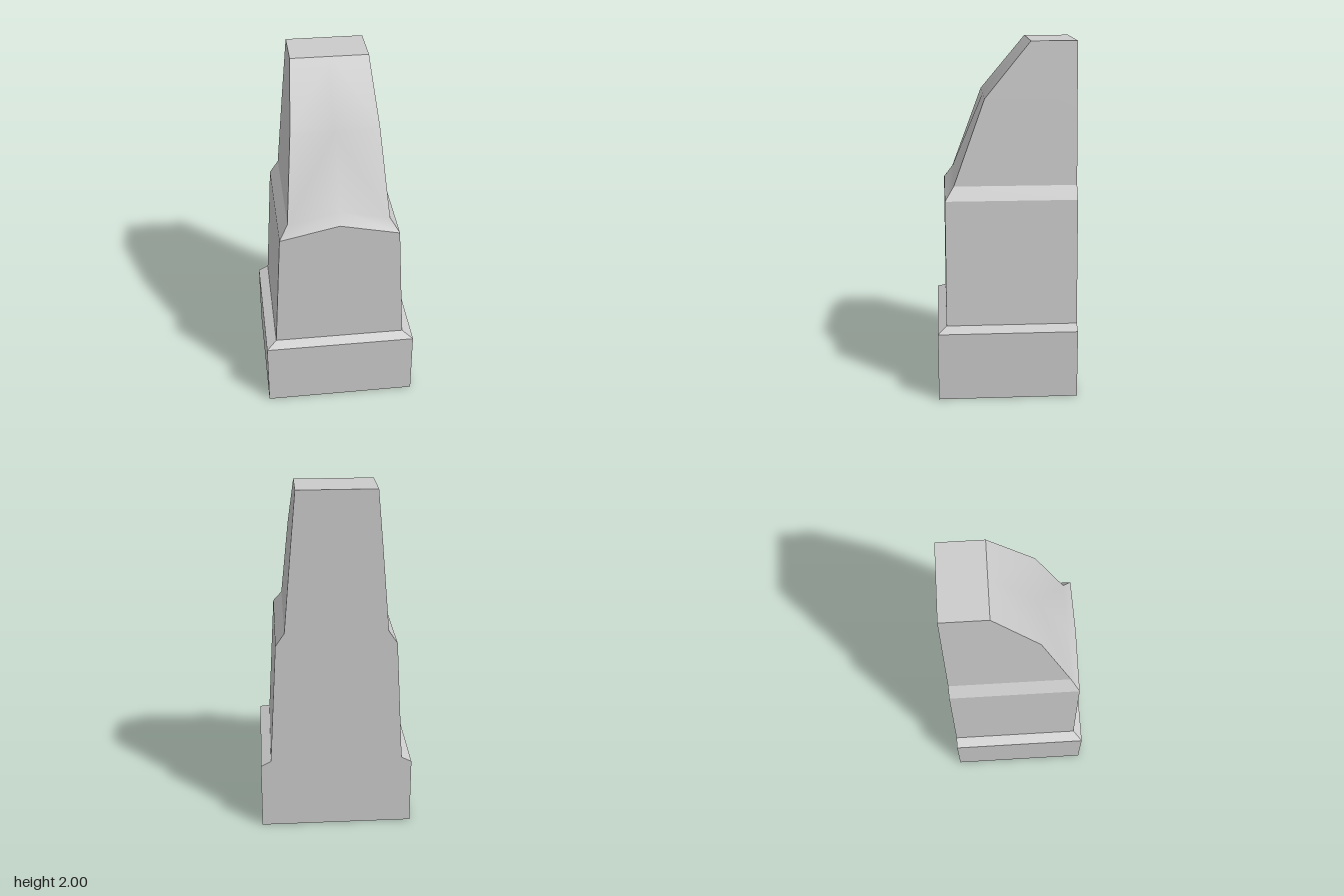
import * as THREE from 'three';
import { toCreasedNormals } from 'three/addons/utils/BufferGeometryUtils.js';

const BACK = -0.395;

// One ring round the block: [half width, y at the corners, y at the front centre, front z]
function ring([w, y, yMid, z]) {
  return [[-w, y, BACK], [-w, y, z], [0, yMid, z], [w, y, z], [w, y, BACK]];
}

// Joins stacked rings into a skin, with optional end caps
function loft(name, sections, { bottom = false, top = false } = {}) {
  const rings = sections.map(ring);
  const n = rings[0].length;
  const index = [];
  for (let i = 0; i < rings.length - 1; i++) {
    for (let j = 0; j < n; j++) {
      const k = (j + 1) % n;
      const a = i * n + j, b = i * n + k, c = a + n, d = b + n;
      // mirror the diagonals so both halves match
      if (j < 2) index.push(a, b, d, a, d, c);
      else index.push(a, b, c, b, d, c);
    }
  }
  const last = (rings.length - 1) * n;
  for (let j = 1; j < n - 1; j++) {
    if (bottom) index.push(0, j + 1, j);
    if (top) index.push(last, last + j, last + j + 1);
  }
  const geometry = new THREE.BufferGeometry();
  geometry.setAttribute('position', new THREE.Float32BufferAttribute(rings.flat(2), 3));
  geometry.setIndex(index);
  const material = new THREE.MeshStandardMaterial({ color: 0xcccccc });
  const mesh = new THREE.Mesh(toCreasedNormals(geometry, THREE.MathUtils.degToRad(25)), material);
  mesh.name = name;
  return mesh;
}

export function createModel() {
  const group = new THREE.Group();
  group.name = 'stonePost';

  // Square footing with a chamfered ledge
  const footEnd = [0.377, 0.42, 0.42, 0.345];
  group.add(loft('plinth', [
    [0.435, 0, 0, 0.395],
    [0.435, 0.39, 0.39, 0.395],
    footEnd,
  ], { bottom: true }));

  // Tapered shaft, its front rising to a shallow peak
  const shaftEnd = [0.337, 1.133, 1.207, 0.345];
  group.add(loft('shaft', [footEnd, shaftEnd]));

  // Stepped-in crown, its front leaning back to the flat top
  group.add(loft('crown', [
    shaftEnd,
    [0.287, 1.207, 1.272, 0.295],
    [0.246, 1.688, 1.688, 0.12],
    [0.218, 2, 2, -0.137],
  ], { top: true }));

  return group;
}
